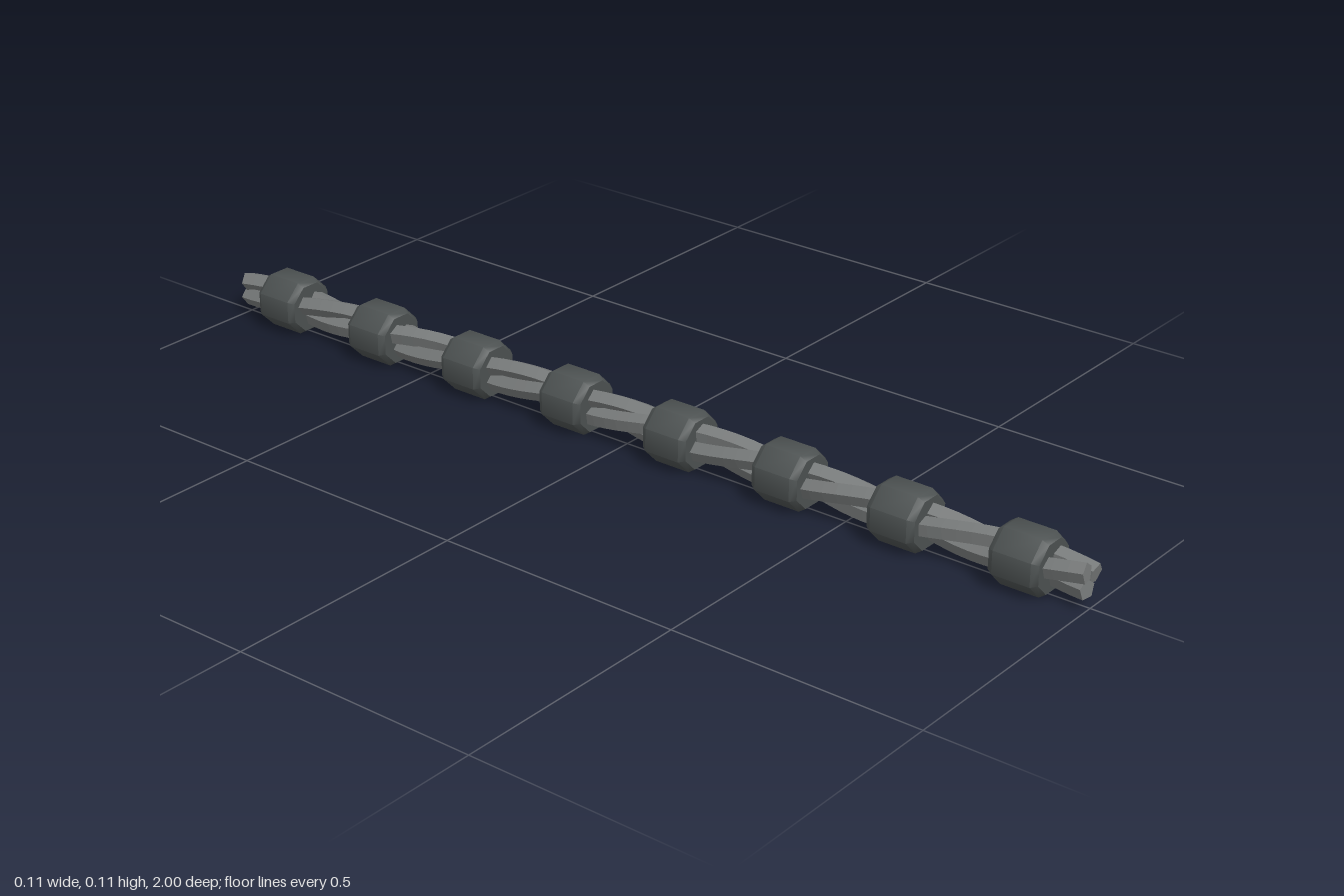
import * as THREE from 'three';
import { toCreasedNormals } from 'three/addons/utils/BufferGeometryUtils.js';

const AXIS_Y = 0.055;   // height of the cable axis
const HALF = 0.996;     // half length of the strand centre lines
const TURNS = 3;

// Helical centre line running from the front end to the back
class StrandCurve extends THREE.Curve {
  constructor(start) {
    super();
    this.start = start;
  }
  getPoint(t, target = new THREE.Vector3()) {
    const a = this.start + t * TURNS * Math.PI * 2;
    return target.set(0.019 * Math.cos(a), 0.019 * Math.sin(a), HALF * (1 - 2 * t));
  }
}

// Five-sided tube closed at both ends
function strandGeometry(start) {
  const sides = 5, steps = 72;
  const geo = new THREE.TubeGeometry(new StrandCurve(start), steps, 0.0195, sides, false);
  const index = Array.from(geo.index.array);
  const last = steps * (sides + 1);
  for (let j = 1; j < sides - 1; j++) {
    index.push(0, j, j + 1);
    index.push(last, last + j + 1, last + j);
  }
  geo.setIndex(index);
  return geo;
}

// Octagonal collar with chamfered rims, lying along z
function collarGeometry() {
  const k = 1 / Math.cos(Math.PI / 8);
  const profile = [[0, -0.05], [0.047, -0.05], [0.055, -0.038], [0.055, 0.038], [0.047, 0.05], [0, 0.05]]
    .map(([r, y]) => new THREE.Vector2(r * k, y));
  const geo = new THREE.LatheGeometry(profile, 8, Math.PI / 8);
  geo.rotateX(Math.PI / 2);
  return toCreasedNormals(geo, THREE.MathUtils.degToRad(50));
}

export function createModel() {
  const model = new THREE.Group();
  model.name = 'twistedCable';

  const strandGrey = new THREE.MeshStandardMaterial({ color: 0x777a7a });
  strandGrey.name = 'strandGrey';
  strandGrey.flatShading = true;
  const collarGrey = new THREE.MeshStandardMaterial({ color: 0x4c5151 });
  collarGrey.name = 'collarGrey';

  // Three twisted strands
  for (let i = 0; i < 3; i++) {
    const strand = new THREE.Mesh(strandGeometry(0.1 + (i * Math.PI * 2) / 3), strandGrey);
    strand.name = 'strand' + (i + 1);
    strand.position.y = AXIS_Y;
    model.add(strand);
  }

  // Eight evenly spaced collars
  const collarGeo = collarGeometry();
  for (let i = 0; i < 8; i++) {
    const collar = new THREE.Mesh(collarGeo, collarGrey);
    collar.name = 'collar' + (i + 1);
    collar.position.set(0, AXIS_Y, 0.875 - i * 0.25);
    model.add(collar);
  }
  return model;
}
